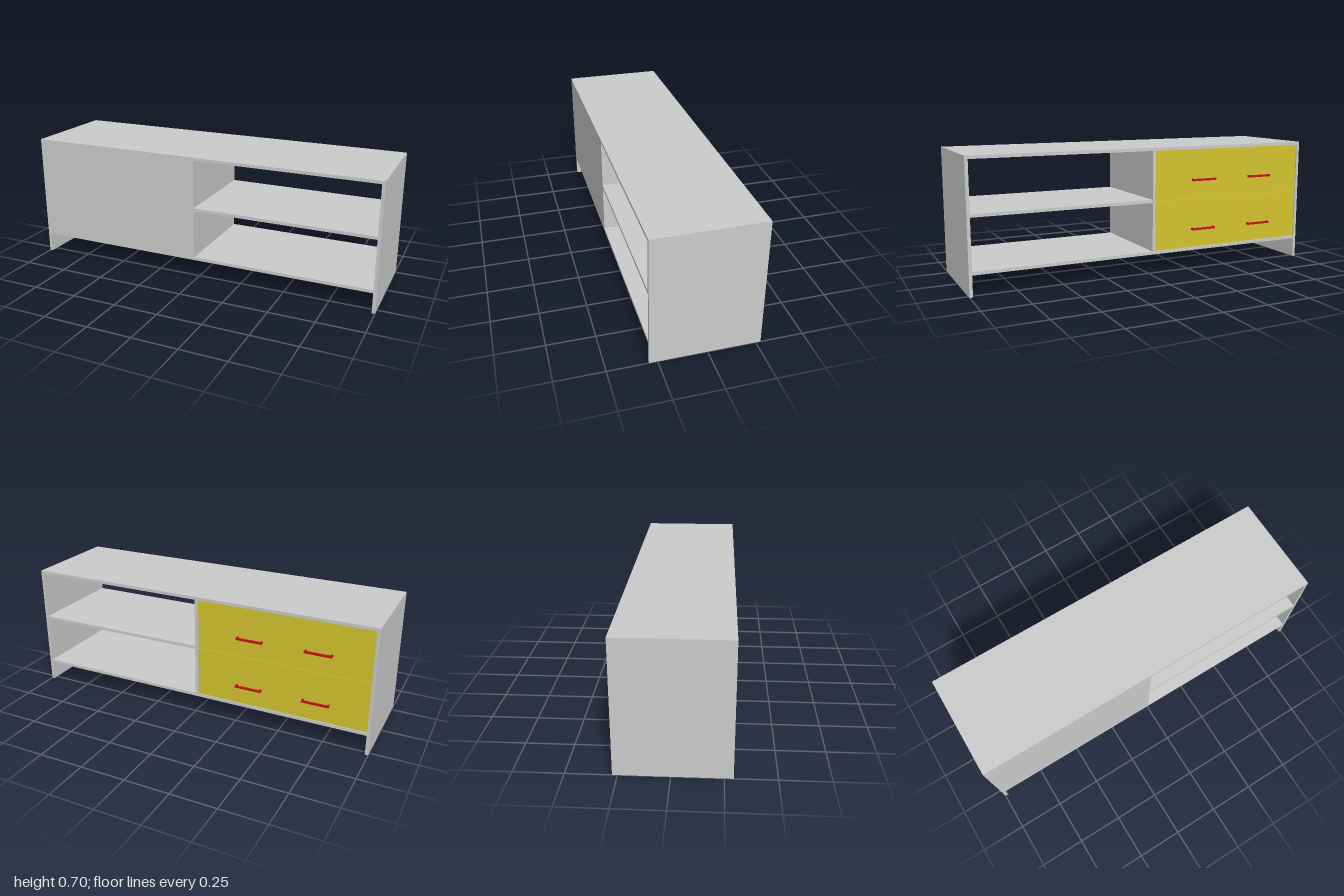
import * as THREE from 'three';

const T = 0.017;                 // board thickness
const FRONT = 0.293, BACK = -0.275, TOP = 0.7, BASE = 0.111;
const DIVIDER = -0.013;          // open-side face of the divider

export function createModel() {
  const group = new THREE.Group();
  const grey = new THREE.MeshStandardMaterial({ color: 0xcccccc });
  const yellow = new THREE.MeshStandardMaterial({ color: 0xd4c42e });
  const red = new THREE.MeshStandardMaterial({ color: 0xc81414 });

  // Box given by its limits on each axis
  const box = (name, material, [x0, x1], [y0, y1], [z0, z1], parent = group) => {
    const mesh = new THREE.Mesh(new THREE.BoxGeometry(x1 - x0, y1 - y0, z1 - z0), material);
    mesh.position.set((x0 + x1) / 2, (y0 + y1) / 2, (z0 + z1) / 2);
    mesh.name = name;
    parent.add(mesh);
  };
  const depth = [BACK, FRONT];
  const inner = 1 - T;

  // Carcass: sides reach the floor and act as legs
  box('leftSide', grey, [inner, 1], [0, TOP], depth);
  box('rightSide', grey, [-1, -inner], [0, TOP], depth);
  box('topBoard', grey, [-inner, inner], [TOP - T, TOP], depth);
  box('bottomBoard', grey, [-inner, inner], [BASE, BASE + T], depth);
  box('divider', grey, [DIVIDER - T, DIVIDER], [BASE + T, TOP - T], depth);
  box('middleShelf', grey, [DIVIDER, inner], [0.399, 0.399 + T], depth);
  box('frontPanel', grey, [-inner, DIVIDER - T], [BASE + T, TOP - T], [FRONT - T, FRONT]);

  // Two stacked drawers opening to the back, each with two handles
  const gap = 0.002, face = BACK + 0.004;
  const low = BASE + T, mid = (low + TOP - T) / 2;
  [[low, mid, 0.233], [mid, TOP - T, 0.512]].forEach(([y0, y1, handleY], i) => {
    const drawer = new THREE.Group();
    drawer.name = i ? 'upperDrawer' : 'lowerDrawer';
    group.add(drawer);
    box('drawerFront', yellow, [-inner + gap, DIVIDER - T - gap],
      [y0 + gap / 2, y1 - gap / 2], [face, face + T], drawer);

    for (const x of [-0.707, -0.333]) {
      const handle = new THREE.Group();
      handle.name = 'handle';
      drawer.add(handle);
      const ys = [handleY - 0.006, handleY + 0.006];
      box('handleBar', red, [x - 0.074, x + 0.074], ys, [-0.292, -0.284], handle);
      for (const s of [-1, 1]) {
        const px = x + s * 0.068;
        box('handlePost', red, [px - 0.005, px + 0.005], ys, [-0.284, face], handle);
      }
    }
  });
  return group;
}
